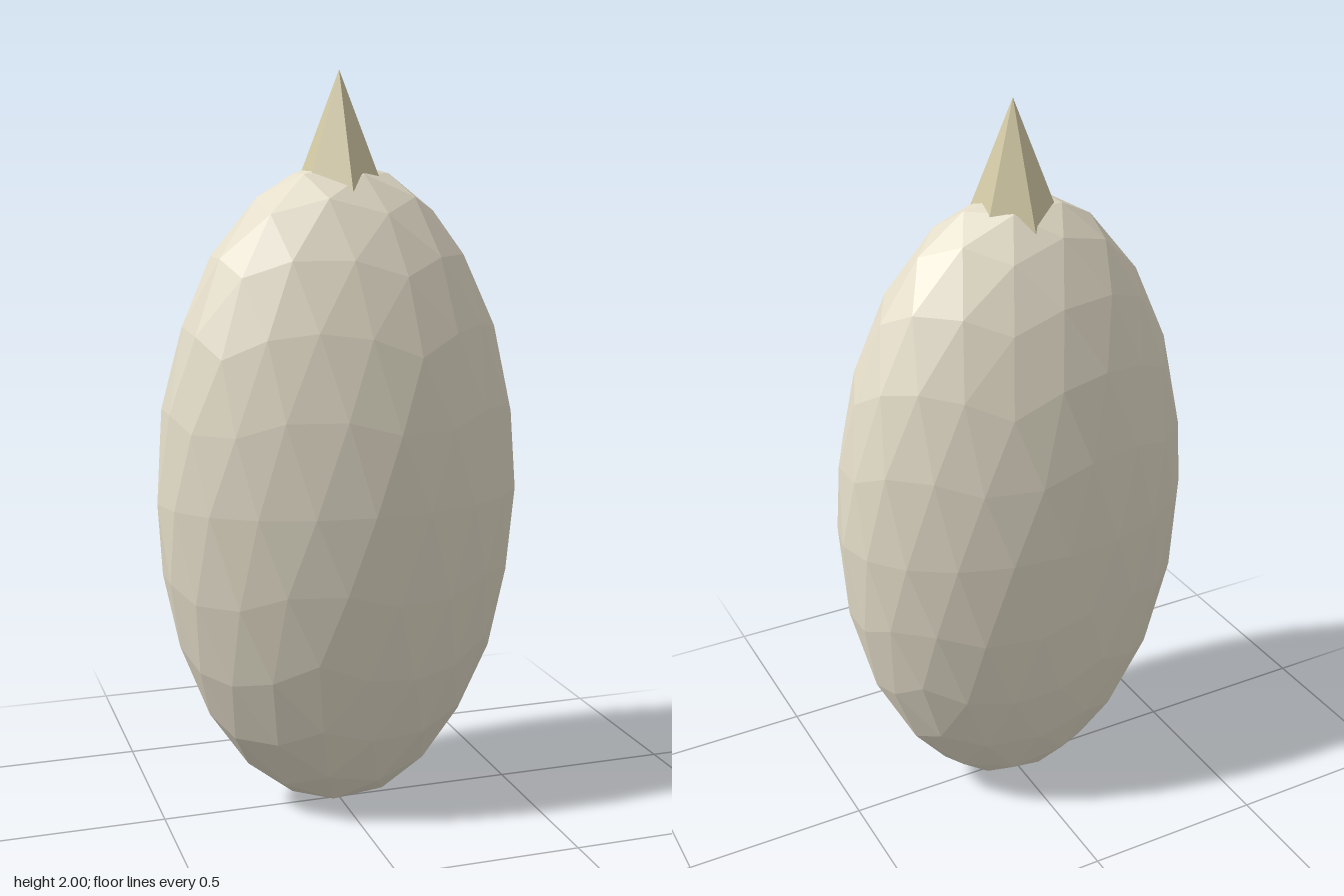
import * as THREE from 'three';

// Unit icosphere with a vertex at each pole, refined twice by halving edges
function poleIcosphere() {
  const verts = [0, 1, 0, 0, -1, 0], faces = [];
  const y = 1 / Math.sqrt(5), r = 2 / Math.sqrt(5);
  for (let k = 0; k < 5; k++) {
    const a = (k * 2 * Math.PI) / 5, b = a + Math.PI / 5;
    verts.push(r * Math.cos(a), y, -r * Math.sin(a));
    verts.push(r * Math.cos(b), -y, -r * Math.sin(b));
    const u = 2 + 2 * k, l = u + 1;
    const u2 = 2 + 2 * ((k + 1) % 5), l2 = u2 + 1;
    faces.push(0, u, u2, u, l, u2, l, l2, u2, 1, l2, l);
  }
  const once = new THREE.PolyhedronGeometry(verts, faces, 1, 1);
  const points = Array.from(once.attributes.position.array);
  return new THREE.PolyhedronGeometry(points, points.slice(0, points.length / 3).map((_, i) => i), 1, 1);
}

export function createModel() {
  const model = new THREE.Group();
  model.name = 'spikedPod';

  // Faceted, flattened egg-shaped body
  const bodyGeo = poleIcosphere();
  bodyGeo.scale(0.5, 0.885, 0.32);
  bodyGeo.translate(0, 0.885, 0);
  bodyGeo.computeVertexNormals();
  const body = new THREE.Mesh(bodyGeo, new THREE.MeshStandardMaterial({ color: 0xe3dcc8, flatShading: true }));
  body.name = 'body';
  model.add(body);

  // Six-sided spike, its base sunk into the top of the body
  const spikeGeo = new THREE.ConeGeometry(0.157, 0.4, 6);
  spikeGeo.translate(0, 1.8, 0);
  const spike = new THREE.Mesh(spikeGeo, new THREE.MeshStandardMaterial({ color: 0xd2c8a4, flatShading: true }));
  spike.name = 'spike';
  model.add(spike);

  return model;
}
